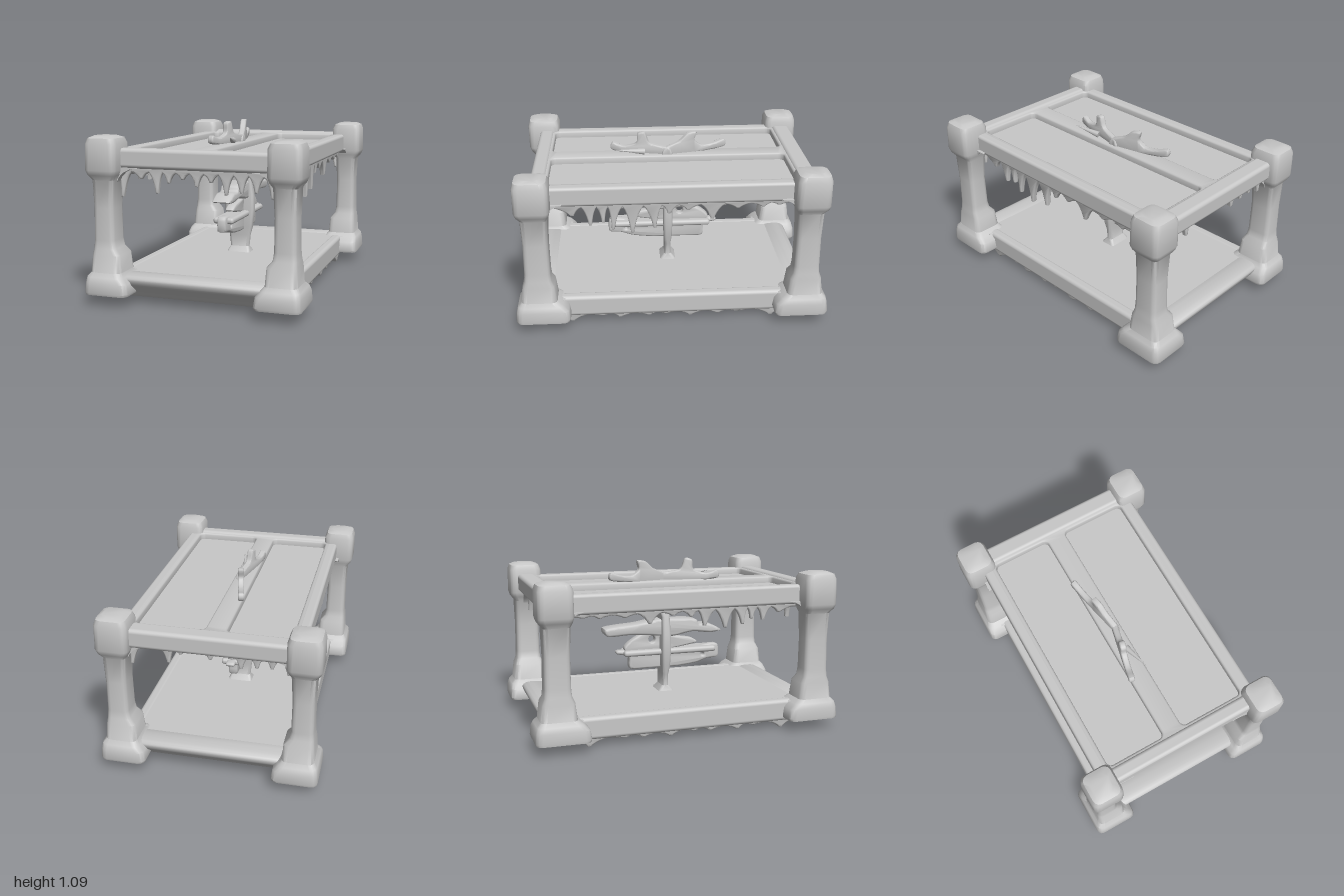
import * as THREE from 'three';
import { toCreasedNormals } from 'three/addons/utils/BufferGeometryUtils.js';
import { RoundedBoxGeometry } from 'three/addons/geometries/RoundedBoxGeometry.js';

const stone = new THREE.MeshStandardMaterial({ color: 0xc8c8c8 });
stone.name = 'stone';

function add(parent, name, geo) {
  const mesh = new THREE.Mesh(geo, stone);
  mesh.name = name;
  parent.add(mesh);
  return mesh;
}

// box with soft edges given by its limits
function block(parent, name, x0, x1, y0, y1, z0, z1, r = 0.02) {
  const g = new RoundedBoxGeometry(x1 - x0, y1 - y0, z1 - z0, 3, r);
  g.translate((x0 + x1) / 2, (y0 + y1) / 2, (z0 + z1) / 2);
  return add(parent, name, g);
}

// skin over rounded rectangles: [y, x0, x1, z0, z1, corner radius]
function loft(sections) {
  const pos = [], idx = [], n = 16;
  for (const [y, x0, x1, z0, z1, r] of sections) {
    const cx = (x0 + x1) / 2, cz = (z0 + z1) / 2;
    for (let i = 0; i < n; i++) {
      const q = Math.floor(i / 4), a = (q + (i % 4) / 3) * Math.PI / 2;
      const sx = q === 0 || q === 3 ? 1 : -1, sz = q < 2 ? 1 : -1;
      pos.push(cx + sx * ((x1 - x0) / 2 - r) + r * Math.cos(a), y,
        cz - sz * ((z1 - z0) / 2 - r) - r * Math.sin(a));
    }
  }
  for (let s = 0; s < sections.length - 1; s++) {
    for (let i = 0; i < n; i++) {
      const a = s * n + i, b = s * n + (i + 1) % n;
      idx.push(a, b, b + n, a, b + n, a + n);
    }
  }
  const top = (sections.length - 1) * n;
  for (let i = 1; i < n - 1; i++) idx.push(0, i + 1, i, top, top + i, top + i + 1);
  const g = new THREE.BufferGeometry();
  g.setAttribute('position', new THREE.Float32BufferAttribute(pos, 3));
  g.setIndex(idx);
  return toCreasedNormals(g, 0.7);
}

// outline extruded about its own plane; alongZ turns it to run along z
function slab(shape, depth, alongZ, bevel = 0.01) {
  const g = new THREE.ExtrudeGeometry(shape, {
    depth: depth - 2 * bevel, bevelThickness: bevel, bevelSize: bevel,
    bevelOffset: -bevel, bevelSegments: 2, curveSegments: 5,
  });
  g.translate(0, 0, -depth / 2 + bevel);
  if (alongZ) g.rotateY(-Math.PI / 2);
  return toCreasedNormals(g, 0.8);
}

const smooth = (pts) => {
  const s = new THREE.Shape();
  s.setFromPoints(new THREE.CatmullRomCurve3(
    pts.map(([x, y]) => new THREE.Vector3(x, y, 0)), true, 'catmullrom', 0.4,
  ).getPoints(pts.length * 4).slice(0, -1).map((p) => new THREE.Vector2(p.x, p.y)));
  return s;
};

// rounded rectangle outline, drawn on a shape or a hole path
function roundRect(s, x0, x1, y0, y1, r) {
  s.absarc(x1 - r, y1 - r, r, 0, Math.PI / 2);
  s.absarc(x0 + r, y1 - r, r, Math.PI / 2, Math.PI);
  s.absarc(x0 + r, y0 + r, r, Math.PI, Math.PI * 1.5);
  s.absarc(x1 - r, y0 + r, r, Math.PI * 1.5, Math.PI * 2);
  s.closePath();
  return s;
}

// hanging fringe with broad pointed teeth: [position, tip height]
function fringe(from, to, top, valley, tips) {
  const s = new THREE.Shape();
  s.moveTo(from, top);
  s.lineTo(from, valley);
  let last = from;
  tips.forEach(([x, y], i) => {
    const next = i < tips.length - 1 ? (x + tips[i + 1][0]) / 2 : to;
    const cy = valley + (y - valley) * 0.25;
    s.quadraticCurveTo(last + (x - last) * 0.55, cy, x - 0.009, y);
    s.lineTo(x + 0.009, y);
    s.quadraticCurveTo(next + (x - next) * 0.55, cy, next, valley);
    last = next;
  });
  s.lineTo(to, top);
  return s;
}

// corner post with a block head and a hollow flared foot
const postSections = [
  [0.15, 0.48, 0.62, 0.76, 0.92, 0.03], [0.07, 0.43, 0.65, 0.69, 0.97, 0.04],
  [0.07, 0.40, 0.68, 0.66, 0.995, 0.04], [0.085, 0.395, 0.682, 0.655, 1.0, 0.04],
  [0.145, 0.405, 0.678, 0.665, 0.995, 0.04], [0.18, 0.435, 0.672, 0.70, 0.985, 0.04],
  [0.205, 0.455, 0.652, 0.735, 0.962, 0.035], [0.31, 0.462, 0.647, 0.748, 0.95, 0.035],
  [0.35, 0.495, 0.642, 0.766, 0.935, 0.03], [0.40, 0.503, 0.638, 0.77, 0.932, 0.03],
  [0.60, 0.505, 0.636, 0.772, 0.93, 0.03], [0.77, 0.495, 0.642, 0.766, 0.935, 0.03],
  [0.80, 0.478, 0.665, 0.755, 0.957, 0.035], [0.83, 0.468, 0.676, 0.748, 0.966, 0.035],
  [0.99, 0.468, 0.674, 0.75, 0.966, 0.04], [1.023, 0.482, 0.662, 0.762, 0.956, 0.04],
  [1.037, 0.515, 0.635, 0.795, 0.925, 0.04],
];

export function createModel() {
  const model = new THREE.Group();
  model.name = 'stoneFrame';

  for (const sx of [1, -1]) {
    for (const sz of [1, -1]) {
      add(model, 'cornerPost', loft(postSections.map(([y, x0, x1, z0, z1, r]) => [
        y, Math.min(sx * x0, sx * x1), Math.max(sx * x0, sx * x1),
        Math.min(sz * z0, sz * z1), Math.max(sz * z0, sz * z1), r])));

      // curved fillets between posts and rails
      for (const [y, sy, rx, rz] of [[0.18, 1, 0.1, 0.09], [0.845, -1, 0.15, 0.1]]) {
        for (const alongZ of [false, true]) {
          const h = alongZ ? sz : sx, r = alongZ ? rz : rx;
          const s = new THREE.Shape();
          s.moveTo(0, 0);
          s.lineTo(-h * r, 0);
          s.quadraticCurveTo(-h * 0.01, sy * 0.01, 0, sy * r);
          const f = add(model, 'cornerFillet', slab(s, alongZ ? 0.08 : 0.1, alongZ, 0));
          f.position.set(sx * (alongZ ? 0.54 : 0.51), y, sz * (alongZ ? 0.78 : 0.83));
        }
      }
    }
  }

  // floor with end rails that slope inwards underneath
  block(model, 'floorPanel', -0.52, 0.52, 0.13, 0.184, -0.85, 0.85, 0.005);
  for (const s of [1, -1]) {
    const rail = smooth([[0.76, 0.18], [0.87, 0.19], [0.915, 0.17], [0.905, 0.13], [0.85, 0.08],
      [0.805, 0.035], [0.77, 0.04], [0.76, 0.1]].map(([z, y]) => [s * z, y]));
    add(model, 'endFloorRail', slab(rail, 0.94, true));
  }
  // roof frame around two sunken panels
  const frame = roundRect(new THREE.Shape(), -0.555, 0.555, -0.86, 0.86, 0.02);
  frame.holes.push(roundRect(new THREE.Path(), -0.475, -0.085, -0.77, 0.78, 0.035),
    roundRect(new THREE.Path(), 0.045, 0.475, -0.77, 0.78, 0.035));
  const roofFrame = add(model, 'roofFrame', slab(frame, 0.08, false, 0.012));
  roofFrame.rotation.x = -Math.PI / 2;
  roofFrame.position.y = 0.909;
  block(model, 'roofPanel', -0.52, 0.52, 0.872, 0.905, -0.84, 0.84, 0.005);
  block(model, 'frontRoofRail', -0.53, 0.53, 0.84, 0.962, 0.785, 0.88, 0.025);
  block(model, 'backRoofRail', -0.53, 0.53, 0.84, 0.962, -0.915, -0.795, 0.025);
  for (const s of [1, -1]) {
    const [a, b] = s > 0 ? [0.485, 0.56] : [-0.56, -0.485];
    block(model, 'sideRoofRail', a, b, 0.825, 0.95, -0.8, 0.8, 0.02);
    block(model, 'sideFloorRail', a, b, 0.045, 0.188, -0.8, 0.8, 0.025);
    // uneven lower edge of the floor rails
    const bumps = [-0.65, -0.42, -0.3, -0.12, 0.04, 0.15, 0.34, 0.45, 0.65]
      .map((z, i) => [z, i % 8 ? 0.018 + 0.008 * ((i * 2) % 3) : 0]);
    add(model, 'floorFringe', slab(fringe(-0.74, 0.74, 0.1, 0.045, bumps), 0.055, true))
      .position.x = s * 0.52;
  }

  // fringes hanging from the roof rails
  const endTips = [[-0.485, 0.66], [-0.36, 0.775], [-0.255, 0.69], [-0.18, 0.755], [-0.09, 0.78],
    [0.0, 0.74], [0.09, 0.77], [0.185, 0.7], [0.28, 0.715], [0.37, 0.72], [0.47, 0.69]];
  const endFringe = slab(fringe(-0.51, 0.51, 0.89, 0.815, endTips), 0.035, false);
  add(model, 'frontFringe', endFringe).position.z = 0.815;
  const shortTips = endTips.map(([x, y]) => [-x, y + 0.04]).reverse();
  add(model, 'backFringe', slab(fringe(-0.5, 0.5, 0.89, 0.825, shortTips), 0.035, false))
    .position.z = -0.83;
  const sideTips = [[-0.67, 0.79], [-0.57, 0.78], [-0.41, 0.775], [-0.25, 0.705], [-0.1, 0.77],
    [0.02, 0.75], [0.11, 0.655], [0.25, 0.625], [0.37, 0.65], [0.43, 0.7], [0.51, 0.68], [0.62, 0.75]];
  add(model, 'leftFringe', slab(fringe(-0.74, 0.74, 0.88, 0.805, sideTips), 0.035, true))
    .position.x = 0.515;
  const otherTips = sideTips.map(([z, y]) => [z, y + (0.82 - y) * 0.35]);
  add(model, 'rightFringe', slab(fringe(-0.74, 0.74, 0.88, 0.81, otherTips), 0.035, true))
    .position.x = -0.515;

  // central pillar: flat and wide, flared at both ends
  const pillar = [[0.165, 0.085, 0.06], [0.19, 0.08, 0.05], [0.22, 0.066, 0.023], [0.3, 0.075, 0.02],
    [0.36, 0.09, 0.028], [0.48, 0.103, 0.032], [0.58, 0.1, 0.03], [0.7, 0.08, 0.028],
    [0.76, 0.065, 0.045], [0.81, 0.06, 0.045], [0.9, 0.06, 0.03]];
  add(model, 'centralPillar', loft(pillar.map(([y, x, z]) =>
    [y, -0.005 - x, -0.005 + x, -z, z, 0.018])));

  // ragged cross arms on the pillar, outlined in z and y
  const upperArm = smooth([[0.41, 0.585], [0.33, 0.57], [0.2, 0.585], [0.05, 0.56], [-0.1, 0.575],
    [-0.25, 0.585], [-0.4, 0.58], [-0.42, 0.63], [-0.33, 0.645], [-0.2, 0.655], [-0.05, 0.68],
    [0.05, 0.68], [0.22, 0.67], [0.25, 0.635], [0.33, 0.63]]);
  add(model, 'upperArm', slab(upperArm, 0.13, true, 0.015));
  const lowerArm = smooth([[0.4, 0.39], [0.32, 0.38], [0.24, 0.355], [0.1, 0.34], [-0.1, 0.34],
    [-0.24, 0.345], [-0.25, 0.43], [-0.33, 0.45], [-0.32, 0.475], [-0.15, 0.465], [0, 0.48],
    [0.2, 0.465], [0.34, 0.485], [0.4, 0.475]]);
  const hole = new THREE.Path();
  hole.absarc(0.285, 0.415, 0.012, 0, Math.PI * 2);
  lowerArm.holes.push(hole);
  add(model, 'lowerArm', slab(lowerArm, 0.06, true, 0.012));
  block(model, 'lowerShelf', -0.07, 0.07, 0.435, 0.475, -0.29, 0.37, 0.018);
  const web = smooth([[0.24, 0.5], [0.1, 0.475], [0, 0.46], [-0.12, 0.455], [-0.25, 0.455],
    [-0.28, 0.49], [-0.23, 0.54], [-0.13, 0.59], [0, 0.6], [0.06, 0.56], [0.2, 0.535]]);
  const eyelet = new THREE.Path();
  eyelet.absarc(-0.085, 0.54, 0.024, 0, Math.PI * 2);
  web.holes.push(eyelet);
  add(model, 'middleArm', slab(web, 0.06, true));

  // thorny crest on the roof in two halves that swing to the same side
  const crestFront = smooth([[0.38, 0.96], [0.37, 1.01], [0.3, 0.99], [0.21, 1.015], [0.2, 1.08],
    [0.15, 1.09], [0.12, 1.02], [0.03, 1.0], [-0.02, 0.99], [-0.02, 0.93], [0.25, 0.94]]);
  const crestBack = smooth([[0.02, 0.99], [-0.08, 1.03], [-0.14, 1.08], [-0.2, 1.085],
    [-0.19, 1.03], [-0.24, 0.99], [-0.32, 0.995], [-0.4, 1.015], [-0.4, 0.965], [-0.25, 0.945],
    [0.02, 0.93]]);
  for (const [shape, turn] of [[crestFront, -0.22], [crestBack, 0.22]]) {
    const half = add(model, 'roofCrest', slab(shape, 0.04, true));
    half.rotation.y = turn;
  }
  const thorn = add(model, 'crestThorn', new THREE.ConeGeometry(0.022, 0.2, 8));
  thorn.position.set(0.02, 0.98, 0.25);
  thorn.rotation.set(1.4, 0, -0.25);

  return model;
}
